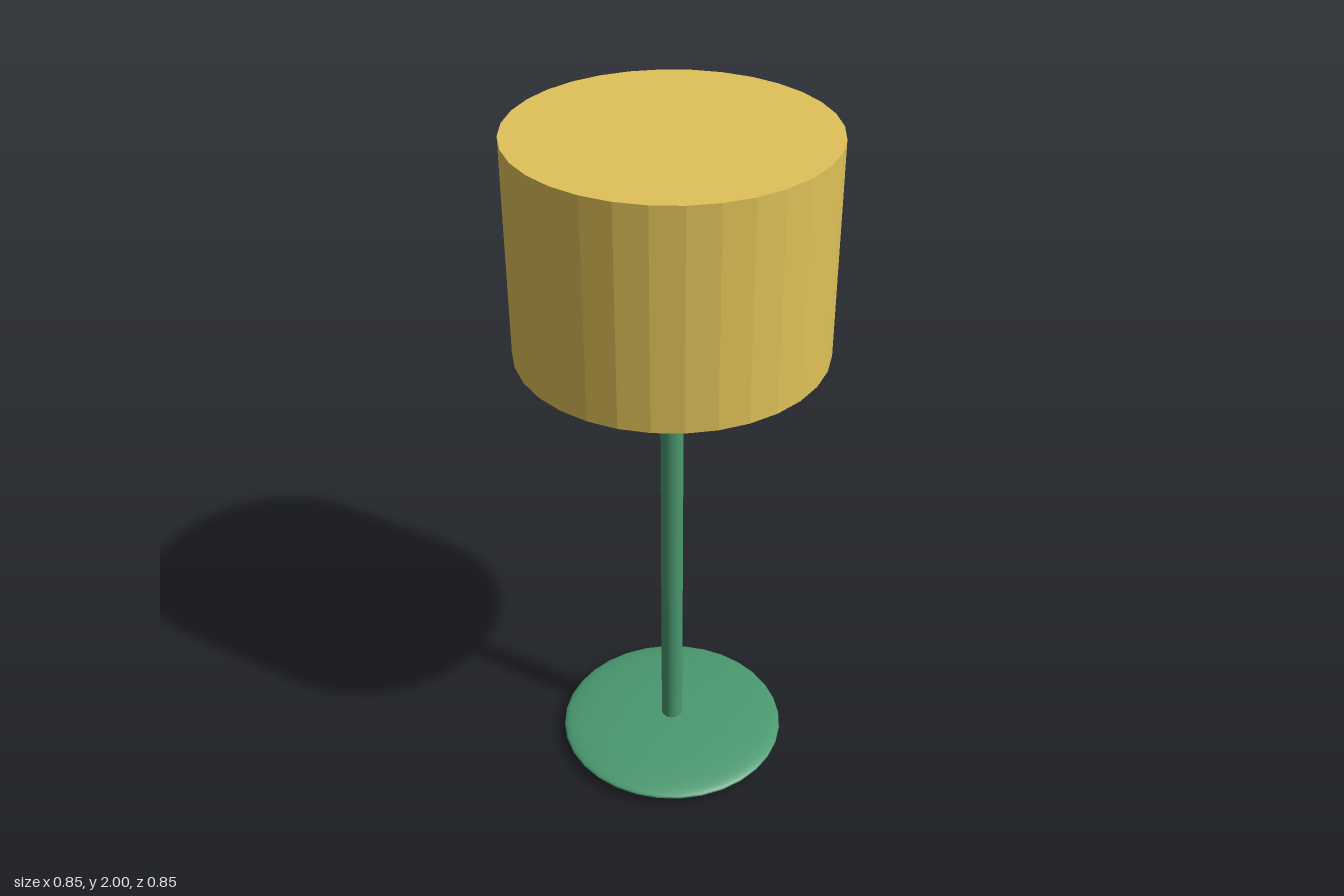
import * as THREE from 'three';

export function createModel() {
  const lamp = new THREE.Group();
  lamp.name = 'floorLamp';

  const green = new THREE.MeshStandardMaterial({ color: 0x4a9970 });
  green.name = 'green metal';
  const yellow = new THREE.MeshStandardMaterial({ color: 0xe0c158, flatShading: true });
  yellow.name = 'mustard fabric';

  const add = (name, geometry, material, y) => {
    const mesh = new THREE.Mesh(geometry, material);
    mesh.name = name;
    mesh.position.y = y;
    lamp.add(mesh);
  };

  // Flattened round foot
  add('base', new THREE.SphereGeometry(0.34, 32, 24).scale(1, 0.1, 1), green, 0.034);

  // Slim pole from the foot into the shade
  add('pole', new THREE.CylinderGeometry(0.032, 0.032, 1.375, 24), green, 0.7225);

  // Closed, faceted drum shade
  add('shade', new THREE.CylinderGeometry(0.424, 0.424, 0.6, 32), yellow, 1.7);

  return lamp;
}
